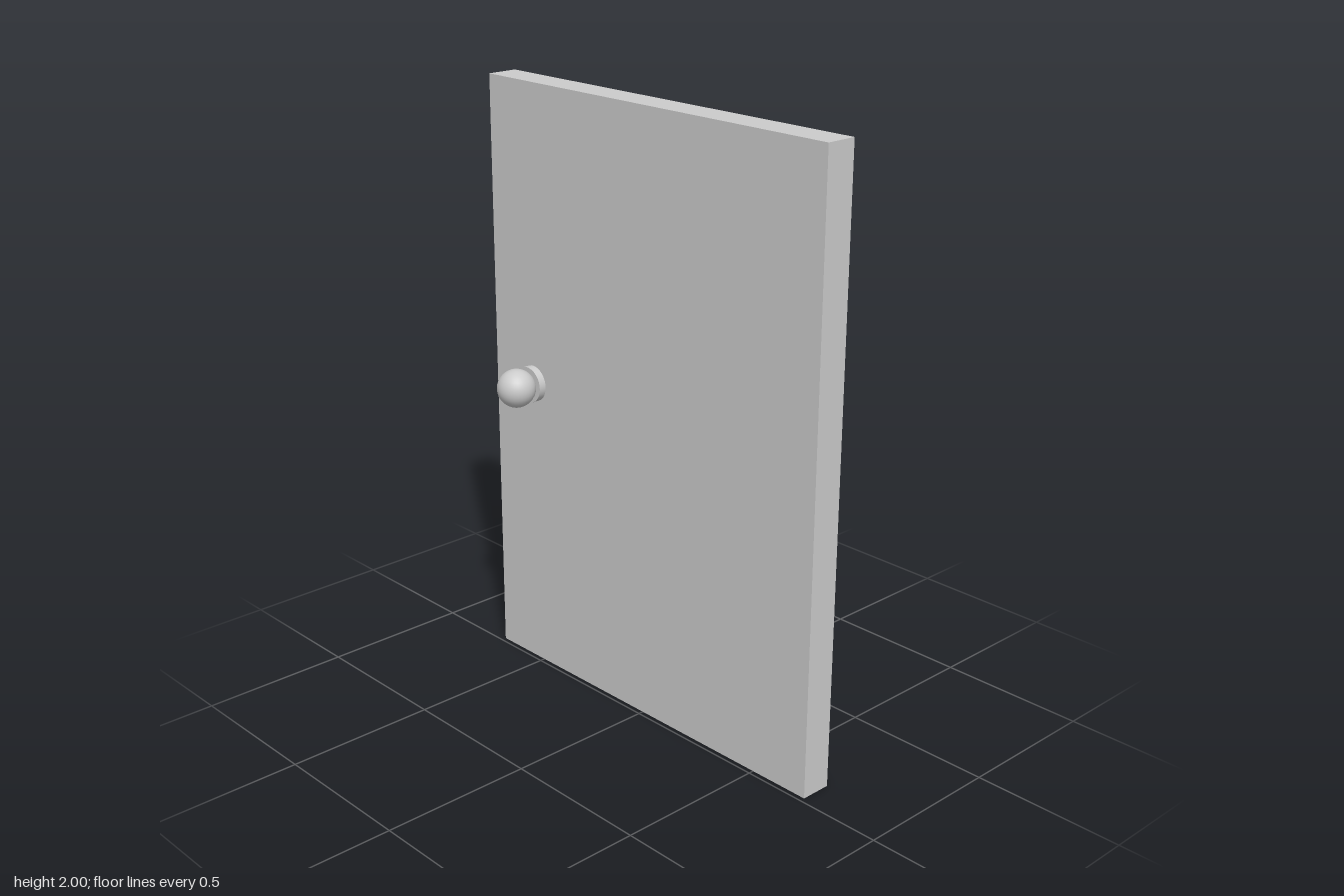
import * as THREE from 'three';

export function createModel() {
  const model = new THREE.Group();
  model.name = 'door';
  const material = new THREE.MeshStandardMaterial({ color: 0xcccccc });

  const add = (name, geometry, x, y, z, parent = model) => {
    const mesh = new THREE.Mesh(geometry, material);
    mesh.name = name;
    mesh.position.set(x, y, z);
    parent.add(mesh);
    return mesh;
  };

  // Plain slab
  add('doorPanel', new THREE.BoxGeometry(1.426, 2, 0.104), 0, 1, -0.069);

  // Round knob on a short disc, near the right edge
  const handle = new THREE.Group();
  handle.name = 'doorHandle';
  handle.position.set(-0.525, 1.01, 0);
  model.add(handle);
  const rose = new THREE.CylinderGeometry(0.06, 0.06, 0.025, 32).rotateX(Math.PI / 2);
  add('knobRose', rose, 0, 0, -0.0045, handle);
  add('knob', new THREE.SphereGeometry(0.064, 32, 16), 0, 0, 0.057, handle);

  return model;
}
